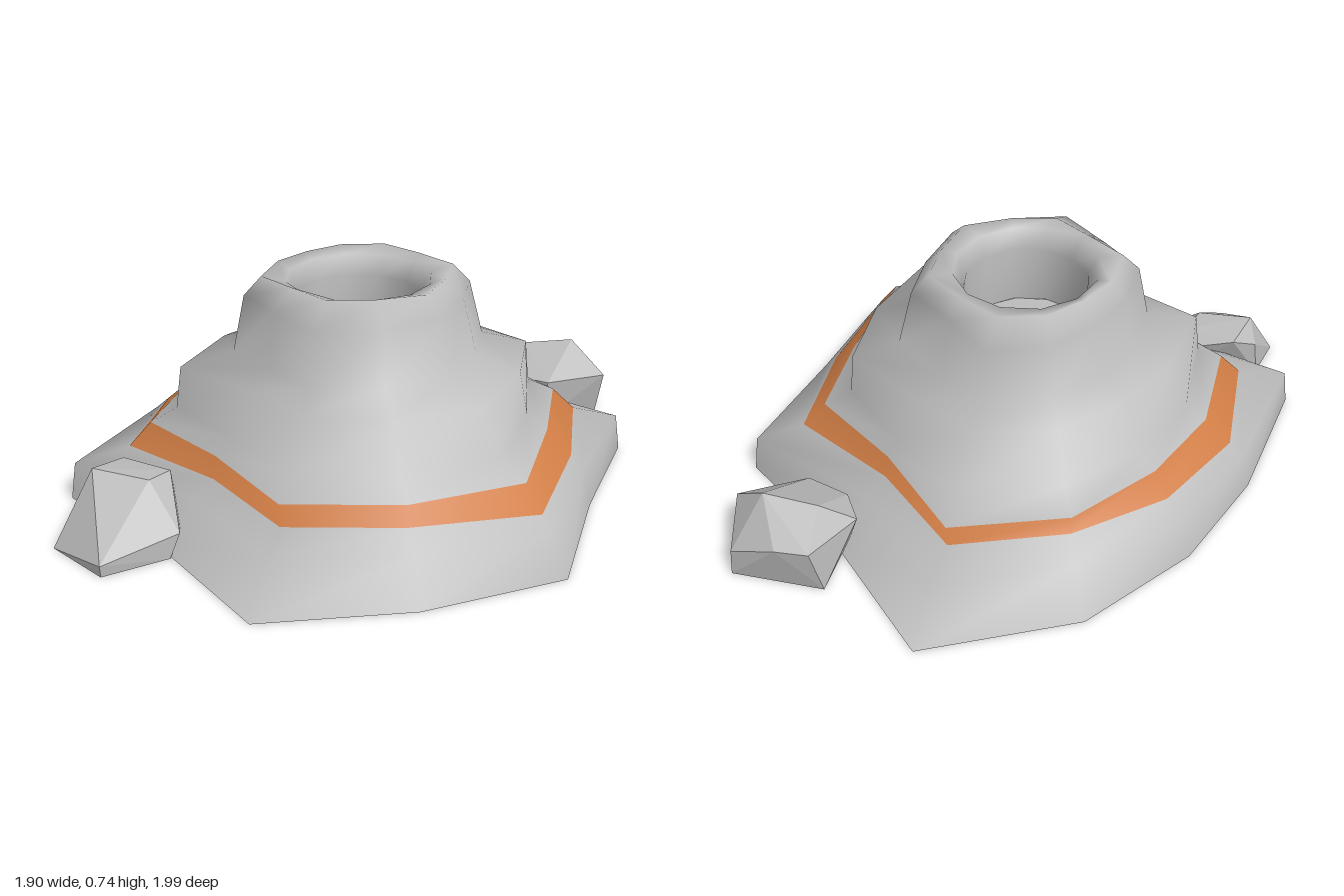
import * as THREE from 'three';
import { ConvexGeometry } from 'three/addons/geometries/ConvexGeometry.js';

const SIDES = 12;
// Corner directions in degrees, counter-clockwise from +x as seen from above
const ANGLES = [13, 43.5, 74, 105, 135.5, 165.5, 196.5, 226, 256, 285, 314.5, 344.5];

// Outer rings of the cone, bottom to top: height and the distance of each corner
const RINGS = [
  { y: 0, r: [.975, .83, 1.04, .88, .785, .80, .99, .83, 1.02, .93, .975, .83] },
  { y: .13, r: [.955, .70, .875, .76, .74, .77, .97, .70, .87, .82, .90, .80] },
  { y: .175, r: [.79, .615, .75, .67, .67, .72, .785, .62, .76, .745, .86, .755] },
  { y: .255, r: [.71, .60, .755, .68, .61, .63, .71, .61, .765, .75, .79, .67] },
  { y: .30, r: [.615, .56, .615, .58, .55, .56, .62, .55, .64, .62, .68, .60] },
  { y: .445, r: [.60, .49, .52, .48, .45, .49, .60, .47, .55, .56, .60, .57] },
  { y: .49, r: [.44, .38, .405, .38, .36, .37, .42, .38, .45, .43, .45, .42] },
  { y: .68, r: [.39, .33, .40, .36, .32, .33, .38, .36, .44, .40, .41, .37] },
  { y: .742, r: [.33, .28, .30, .28, .26, .28, .32, .28, .32, .31, .34, .31] },
];
// Round vent inside: [height, radius]
const VENT = [[.725, .245], [.66, .212], [.45, .22]];
const VENT_CENTRE = { x: .01, z: .025 };
const BAND = 2; // the strip above this ring is orange

function ringPoint(k, radius, y, centre = { x: 0, z: 0 }) {
  const a = THREE.MathUtils.degToRad(ANGLES[k]);
  return [centre.x + Math.cos(a) * radius, y, centre.z - Math.sin(a) * radius];
}

// Skin all rings as one smooth surface, one material group per strip
function coneGeometry() {
  const positions = [], index = [];
  const geometry = new THREE.BufferGeometry();
  for (const ring of RINGS)
    for (let k = 0; k < SIDES; k++) positions.push(...ringPoint(k, ring.r[k], ring.y));
  for (const [y, radius] of VENT)
    for (let k = 0; k < SIDES; k++) positions.push(...ringPoint(k, radius, y, VENT_CENTRE));

  const strips = RINGS.length + VENT.length - 1;
  for (let i = 0; i < strips; i++) {
    geometry.addGroup(index.length, SIDES * 6, i === BAND ? 1 : 0);
    for (let k = 0; k < SIDES; k++) {
      const next = (k + 1) % SIDES;
      const a = i * SIDES + k, b = i * SIDES + next;
      const c = a + SIDES, d = b + SIDES;
      index.push(a, b, d, a, d, c);
    }
  }
  geometry.setAttribute('position', new THREE.Float32BufferAttribute(positions, 3));
  geometry.setIndex(index);
  geometry.computeVertexNormals();
  return geometry;
}

// Faceted boulder from its corner points
function boulder(name, corners, material) {
  const points = corners.map((p) => new THREE.Vector3(...p));
  const mesh = new THREE.Mesh(new ConvexGeometry(points), material);
  mesh.name = name;
  return mesh;
}

export function createModel() {
  const group = new THREE.Group();
  group.name = 'ventCone';
  const stone = new THREE.MeshStandardMaterial({ name: 'greyStone', color: 0xbcbcbc, side: THREE.DoubleSide });
  const orange = new THREE.MeshStandardMaterial({ name: 'orangeBand', color: 0xd07d45, side: THREE.DoubleSide });

  // Stepped cone with its band, rim and vent wall
  const cone = new THREE.Mesh(coneGeometry(), [stone, orange]);
  cone.name = 'cone';
  group.add(cone);

  // Floor of the vent
  const [floorY, floorRadius] = VENT[VENT.length - 1];
  const floor = new THREE.Mesh(new THREE.CircleGeometry(floorRadius, SIDES, THREE.MathUtils.degToRad(ANGLES[0])), stone);
  floor.name = 'ventFloor';
  floor.rotation.x = -Math.PI / 2;
  floor.position.set(VENT_CENTRE.x, floorY, VENT_CENTRE.z);
  group.add(floor);

  // Two boulders on opposite flanks
  group.add(boulder('frontBoulder', [
    [-.92, 0, .61], [-.73, 0, .77], [-.54, 0, .65], [-.51, .08, .63],
    [-.81, .225, .49], [-.62, .21, .53], [-.57, .20, .44], [-.62, .17, .37],
    [-.74, .20, .36], [-.83, .15, .42], [-.85, 0, .45], [-.55, 0, .42], [-.73, .04, .775],
  ], stone));
  group.add(boulder('backBoulder', [
    [.60, 0, -.77], [.63, .17, -.79], [.74, .17, -.78], [.90, .10, -.72], [.91, 0, -.72],
    [.92, .16, -.52], [.90, 0, -.55], [.70, .16, -.43], [.70, 0, -.45],
    [.56, .16, -.50], [.51, .16, -.61], [.62, .24, -.64], [.80, .265, -.62], [.56, 0, -.55],
  ], stone));

  return group;
}
